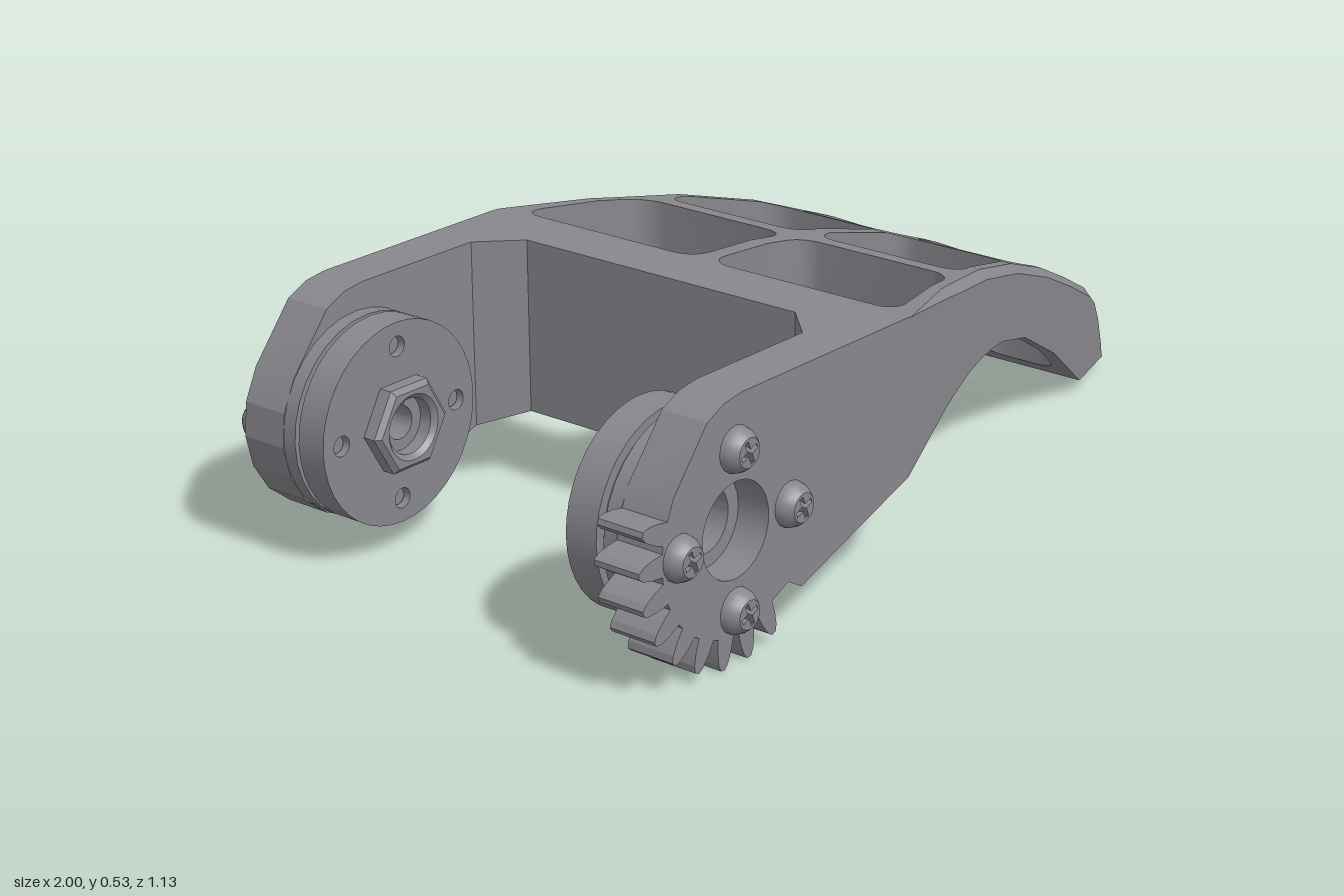
import * as THREE from 'three';
import { toCreasedNormals } from 'three/addons/utils/BufferGeometryUtils.js';

const CX = -0.73, CY = 0.27; // pivot axis
const ARM_IN = 0.426, ARM_OUT = 0.532; // side arm thickness in z
const TOP = [[-0.4, 0.535], [-0.22, 0.535], [0, 0.52], [0.22, 0.487], [0.41, 0.437], [0.6, 0.365],
  [0.76, 0.29], [0.9, 0.219], [0.93, 0.195], [0.96, 0.147], [0.985, 0.085], [0.995, 0.05], [1, 0.025]];
const BOTTOM = [[-0.4, 0.136], [-0.2, 0.203], [0, 0.272], [0.07, 0.289], [0.13, 0.3], [0.2, 0.306], [0.27, 0.304],
  [0.33, 0.297], [0.465, 0.258], [0.66, 0.153], [0.84, 0.025], [1, 0.025]];
const WIDTH = [[-0.4, ARM_OUT], [-0.2, ARM_OUT], [1, 0.195]];
const WINDOWS = [[-0.185, 0.115], [0.16, 0.447], [0.49, 0.795]];
const RADIUS = 0.05;

const material = new THREE.MeshStandardMaterial({ color: 0x87878d });

function lerp(table, x) {
  for (let i = 1; i < table.length; i++) {
    const [x0, y0] = table[i - 1], [x1, y1] = table[i];
    if (x <= x1) return y0 + (y1 - y0) * (x - x0) / (x1 - x0);
  }
  return table[table.length - 1][1];
}

function mesh(name, geometry, crease = 0.5) {
  const m = new THREE.Mesh(toCreasedNormals(geometry, crease), material);
  m.name = name;
  return m;
}

// Extrude an xy shape between two z planes, with optional chamfered ends
function slab(name, shape, za, zb, chamfer = 0) {
  const z = Math.min(za, zb) + chamfer;
  const g = new THREE.ExtrudeGeometry(shape, {
    depth: Math.abs(zb - za) - 2 * chamfer, curveSegments: 24,
    bevelEnabled: chamfer > 0, bevelSegments: 1, bevelThickness: chamfer, bevelSize: chamfer, bevelOffset: -chamfer,
  });
  return mesh(name, g.translate(0, 0, z), 0.3);
}

const polar = (r, deg) => {
  const a = deg * Math.PI / 180;
  return new THREE.Vector2(CX + r * Math.cos(a), CY + r * Math.sin(a));
};
const ring = (r, n) => Array.from({ length: n }, (_, i) => polar(r, i * 360 / n));
const circle = (x, y, r) => new THREE.Path().absarc(x, y, r, 0, Math.PI * 2, true);

// Windowed, arched shell: each strip along x is a set of solid z intervals, mirrored in z
function shellGeometry() {
  const xs = new Set([-0.4, -0.32]);
  [TOP, BOTTOM, WIDTH].forEach(t => t.forEach(p => xs.add(p[0])));
  for (const [a, b] of WINDOWS) {
    for (let i = 0; i <= 5; i++) {
      const d = RADIUS * (1 - Math.cos(i * Math.PI / 10));
      xs.add(a + d).add(b - d);
    }
  }
  const cols = [...xs].sort((a, b) => a - b);
  const pos = [];
  const top = x => lerp(TOP, x), bot = x => lerp(BOTTOM, x), wide = x => lerp(WIDTH, x);
  const bevel = x => Math.max(0, Math.min(0.018, (x + 0.2) * 0.08, top(x) - bot(x)));
  const gap = (x, w) => {
    const d = Math.min(RADIUS, x - w[0], w[1] - x);
    const inset = RADIUS - Math.sqrt(Math.max(0, RADIUS ** 2 - (RADIUS - d) ** 2));
    return [0.02 + inset, wide(x) - 0.042 - inset];
  };
  for (const s of [1, -1]) {
    const quad = (a, b, c, d) => {
      const order = s > 0 ? [a, b, c, a, c, d] : [c, b, a, d, c, a];
      order.forEach(p => pos.push(p[0], p[1], p[2] * s));
    };
    const endWall = (x, zi, zo, facing) => {
      const c = [[x, bot(x), zo], [x, bot(x), zi], [x, top(x), zi], [x, top(x), zo]];
      quad(...(facing > 0 ? c : c.reverse()));
    };
    // inner and outer are functions of x
    const strip = (a, b, inner, outer, rim) => {
      const e = x => rim ? bevel(x) : 0;
      const P = (x, y, z) => [x, y, z];
      quad(P(a, top(a), outer(a) - e(a)), P(b, top(b), outer(b) - e(b)), P(b, top(b), inner(b)), P(a, top(a), inner(a)));
      quad(P(a, bot(a), inner(a)), P(b, bot(b), inner(b)), P(b, bot(b), outer(b)), P(a, bot(a), outer(a)));
      quad(P(a, bot(a), outer(a)), P(b, bot(b), outer(b)), P(b, top(b) - e(b), outer(b)), P(a, top(a) - e(a), outer(a)));
      if (rim) quad(P(a, top(a) - e(a), outer(a)), P(b, top(b) - e(b), outer(b)), P(b, top(b), outer(b) - e(b)), P(a, top(a), outer(a) - e(a)));
      if (inner(a) > 0) quad(P(a, top(a), inner(a)), P(b, top(b), inner(b)), P(b, bot(b), inner(b)), P(a, bot(a), inner(a)));
    };
    for (let i = 1; i < cols.length; i++) {
      const a = cols[i - 1], b = cols[i], m = (a + b) / 2;
      if (b - a < 1e-6) continue;
      const w = WINDOWS.find(v => m > v[0] && m < v[1]);
      if (m < -0.32) strip(a, b, x => ARM_IN - (x + 0.4), wide, true);
      else if (w) {
        strip(a, b, () => 0, x => gap(x, w)[0], false);
        strip(a, b, x => gap(x, w)[1], wide, true);
      } else strip(a, b, () => 0, wide, true);
    }
    for (const w of WINDOWS) {
      endWall(w[0], ...gap(w[0], w), 1);
      endWall(w[1], ...gap(w[1], w), -1);
    }
    endWall(-0.32, 0, ARM_IN - 0.08, -1);
  }
  const g = new THREE.BufferGeometry();
  g.setAttribute('position', new THREE.Float32BufferAttribute(pos, 3));
  return g;
}

// Side arm outline, ending in gear teeth or a plain faceted end
function armShape(toothed) {
  const pts = [[-0.4, 0.535], [-0.71, 0.535], [-0.76, 0.528], [-0.81, 0.505], [-0.905, 0.39]].map(p => new THREE.Vector2(...p));
  if (toothed) {
    const pitch = 360 / 22;
    for (let k = 0; k < 9; k++) {
      const a = 163.6 + k * pitch;
      for (const [r, d] of [[0.208, -6.2], [0.235, -4.8], [0.259, -3], [0.271, -1.2], [0.271, 1.2], [0.259, 3], [0.235, 4.8], [0.208, 6.2]])
        pts.push(polar(r, a + d));
    }
  } else {
    for (let a = 165; a <= 301; a += 19) pts.push(polar(0.213, a));
  }
  for (const p of [[-0.575, 0.113], [-0.535, 0.09], [-0.4, 0.136]]) pts.push(new THREE.Vector2(...p));
  const shape = new THREE.Shape(pts);
  shape.holes.push(circle(CX, CY, 0.096));
  return shape;
}

// Domed screw head with a cross recess
function screwHeadGeometry() {
  const shape = new THREE.Shape().absarc(0, 0, 0.046, 0, Math.PI * 2, false);
  const l = 0.036, t = 0.008;
  const cross = [[l, t], [t, t], [t, l], [-t, l], [-t, t], [-l, t], [-l, -t], [-t, -t], [-t, -l], [t, -l], [t, -t], [l, -t]];
  shape.holes.push(new THREE.Path(cross.map(p => new THREE.Vector2(...p))));
  const depth = 0.033;
  const g = new THREE.ExtrudeGeometry(shape, { depth, steps: 4, bevelEnabled: false, curveSegments: 8 });
  const p = g.attributes.position;
  for (let i = 0; i < p.count; i++) {
    const k = 1 - 0.36 * (p.getZ(i) / depth) ** 2;
    p.setXY(i, p.getX(i) * k, p.getY(i) * k);
  }
  return g;
}

// Pivot hub on the inner face of one arm
function hub(s, disc, boss) {
  const group = new THREE.Group();
  const spacer = new THREE.Shape(ring(0.21, 32));
  spacer.holes.push(circle(CX, CY, 0.096));
  group.add(slab('hubSpacer', spacer, s * ARM_IN, s * 0.395));
  const neck = new THREE.Shape(ring(0.19, 32));
  neck.holes.push(circle(CX, CY, 0.066));
  group.add(slab('hubNeck', neck, s * 0.395, s * disc[1]));

  const plate = new THREE.Shape(ring(0.21, 40));
  // keyed shaft hole
  const key = new THREE.Path();
  key.absarc(CX, CY, 0.034, Math.PI * 0.62, Math.PI * 2.38, false);
  key.lineTo(CX + 0.013, CY + 0.055);
  key.lineTo(CX - 0.013, CY + 0.055);
  plate.holes.push(key);
  for (let i = 0; i < 4; i++) {
    const c = polar(0.16, i * 90);
    plate.holes.push(circle(c.x, c.y, 0.021));
  }
  group.add(slab('hubDisc', plate, s * disc[0], s * disc[1]));

  const nut = new THREE.Shape(ring(0.1, 6));
  nut.holes.push(circle(CX, CY, 0.058));
  group.add(slab('hubNut', nut, s * boss, s * (disc[0] + 0.012), 0.01));
  const collar = new THREE.Shape(ring(0.096, 24));
  collar.holes.push(circle(CX, CY, 0.066));
  group.add(slab('hubCollar', collar, s * 0.395, s * 0.46));
  return group;
}

export function createModel() {
  const model = new THREE.Group();
  model.name = 'archedLever';
  model.add(mesh('archedShell', shellGeometry()));

  const head = screwHeadGeometry();
  for (const s of [1, -1]) {
    const side = s > 0 ? 'left' : 'right';
    model.add(slab(s > 0 ? 'gearArm' : 'plainArm', armShape(s > 0), s * ARM_IN, s * ARM_OUT));
    const h = s > 0 ? hub(1, [0.305, 0.378], 0.235) : hub(-1, [0.318, 0.385], 0.28);
    h.name = side + 'Hub';
    model.add(h);

    // four screws around the pivot
    const screws = new THREE.Group();
    screws.name = side + 'Screws';
    for (let i = 0; i < 4; i++) {
      const c = polar(0.16, i * 90);
      const screw = mesh('screwHead', head, 0.6);
      screw.position.set(c.x, c.y, s * ARM_OUT);
      screw.rotation.set(0, s > 0 ? 0 : Math.PI, Math.PI / 8);
      const shaft = mesh('screwShaft', new THREE.CylinderGeometry(0.018, 0.018, 0.2, 12).rotateX(Math.PI / 2), 0.6);
      shaft.position.set(c.x, c.y, s * 0.432);
      screws.add(screw, shaft);
    }
    model.add(screws);
  }
  return model;
}
